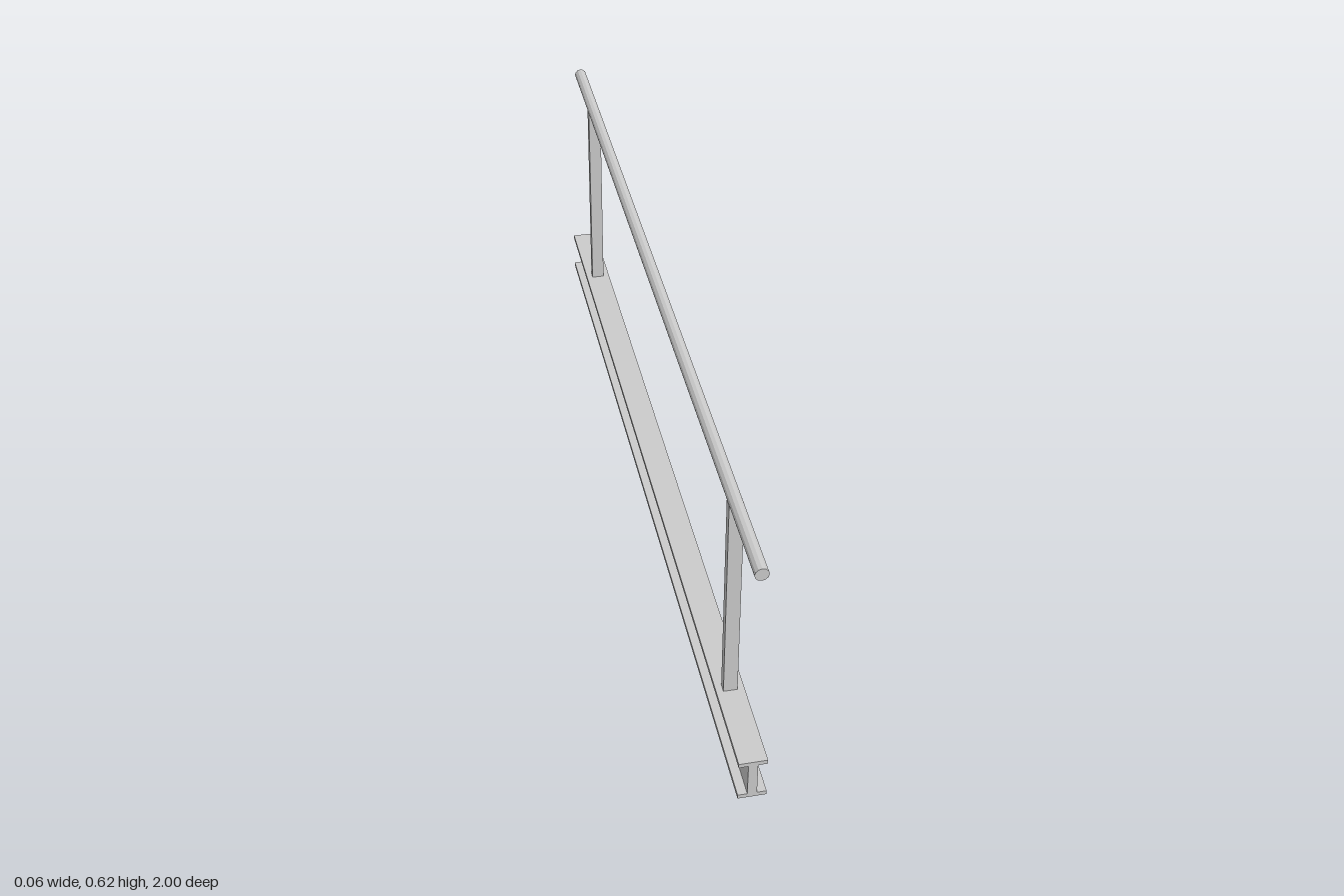
import * as THREE from 'three';

export function createModel() {
  const model = new THREE.Group();
  const material = new THREE.MeshStandardMaterial({ color: 0xcccccc, flatShading: true });
  const add = (name, geometry, x, y, z) => {
    const mesh = new THREE.Mesh(geometry, material);
    mesh.name = name;
    mesh.position.set(x, y, z);
    model.add(mesh);
  };

  // I-beam: one half of the section, mirrored, run along z
  const half = [[0.03, 0], [0.03, 0.01], [0.01, 0.01], [0.01, 0.09], [0.03, 0.09], [0.03, 0.1]];
  const mirrored = half.map(([x, y]) => [-x, y]).reverse();
  const section = new THREE.Shape([...half, ...mirrored].map(([x, y]) => new THREE.Vector2(x, y)));
  add('beam', new THREE.ExtrudeGeometry(section, { depth: 2, bevelEnabled: false }), 0, 0, -1);

  // Two flat posts standing on the beam
  for (const [name, z] of [['frontPost', 0.79], ['backPost', -0.79]]) {
    add(name, new THREE.BoxGeometry(0.03, 0.5, 0.02), 0, 0.35, z);
  }

  // Round handrail along the top
  const rail = new THREE.CylinderGeometry(0.0145, 0.0145, 2, 12).rotateX(Math.PI / 2);
  add('handrail', rail, 0, 0.6005, 0);

  return model;
}
